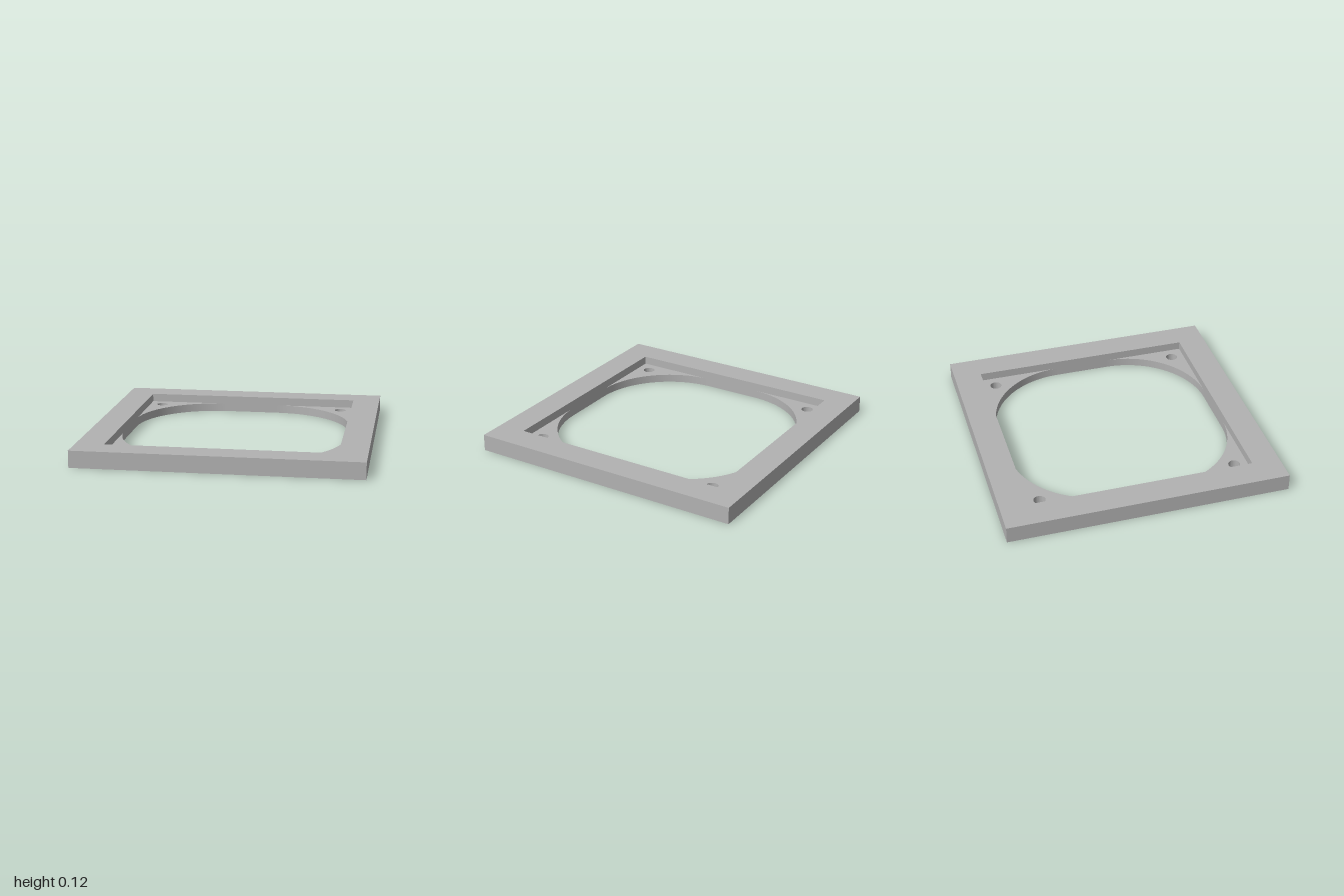
import * as THREE from 'three';
import { toCreasedNormals } from 'three/addons/utils/BufferGeometryUtils.js';

const HEIGHT = 0.12;      // full frame thickness
const TAB_HEIGHT = 0.06;  // corner tabs form the recessed floor
const INNER = 0.8;        // half width of the square opening
const RADIUS = 0.6;       // rounding of the lower opening

// Extrude a plan shape upward from y = 0
function slab(shape, height) {
  const geo = new THREE.ExtrudeGeometry(shape, { depth: height, bevelEnabled: false, curveSegments: 32 });
  geo.rotateX(-Math.PI / 2);
  return toCreasedNormals(geo, 0.5);
}

function square(path, h) {
  return path.moveTo(-h, -h).lineTo(h, -h).lineTo(h, h).lineTo(-h, h).closePath();
}

export function createModel() {
  const model = new THREE.Group();
  model.name = 'mountingFrame';
  const grey = new THREE.MeshStandardMaterial({ color: 0xb2b2b2 });
  grey.name = 'grey';

  // Square outer frame
  const frameShape = square(new THREE.Shape(), 1);
  frameShape.holes.push(square(new THREE.Path(), INNER));
  const frame = new THREE.Mesh(slab(frameShape, HEIGHT), grey);
  frame.name = 'outerFrame';
  model.add(frame);

  // Corner tab with a concave inner edge and a screw hole
  const c = INNER - RADIUS;
  const tabShape = new THREE.Shape();
  tabShape.moveTo(INNER, c).lineTo(INNER, INNER).lineTo(c, INNER);
  tabShape.absarc(c, c, RADIUS, Math.PI / 2, 0, true);
  const screwHole = new THREE.Path();
  screwHole.absarc(0.705, 0.705, 0.042, 0, Math.PI * 2, true);
  tabShape.holes.push(screwHole);
  const tabGeo = slab(tabShape, TAB_HEIGHT);

  // One tab in each corner
  for (let i = 0; i < 4; i++) {
    const tab = new THREE.Mesh(tabGeo, grey);
    tab.name = 'cornerTab' + (i + 1);
    tab.rotation.y = i * Math.PI / 2;
    model.add(tab);
  }
  return model;
}
